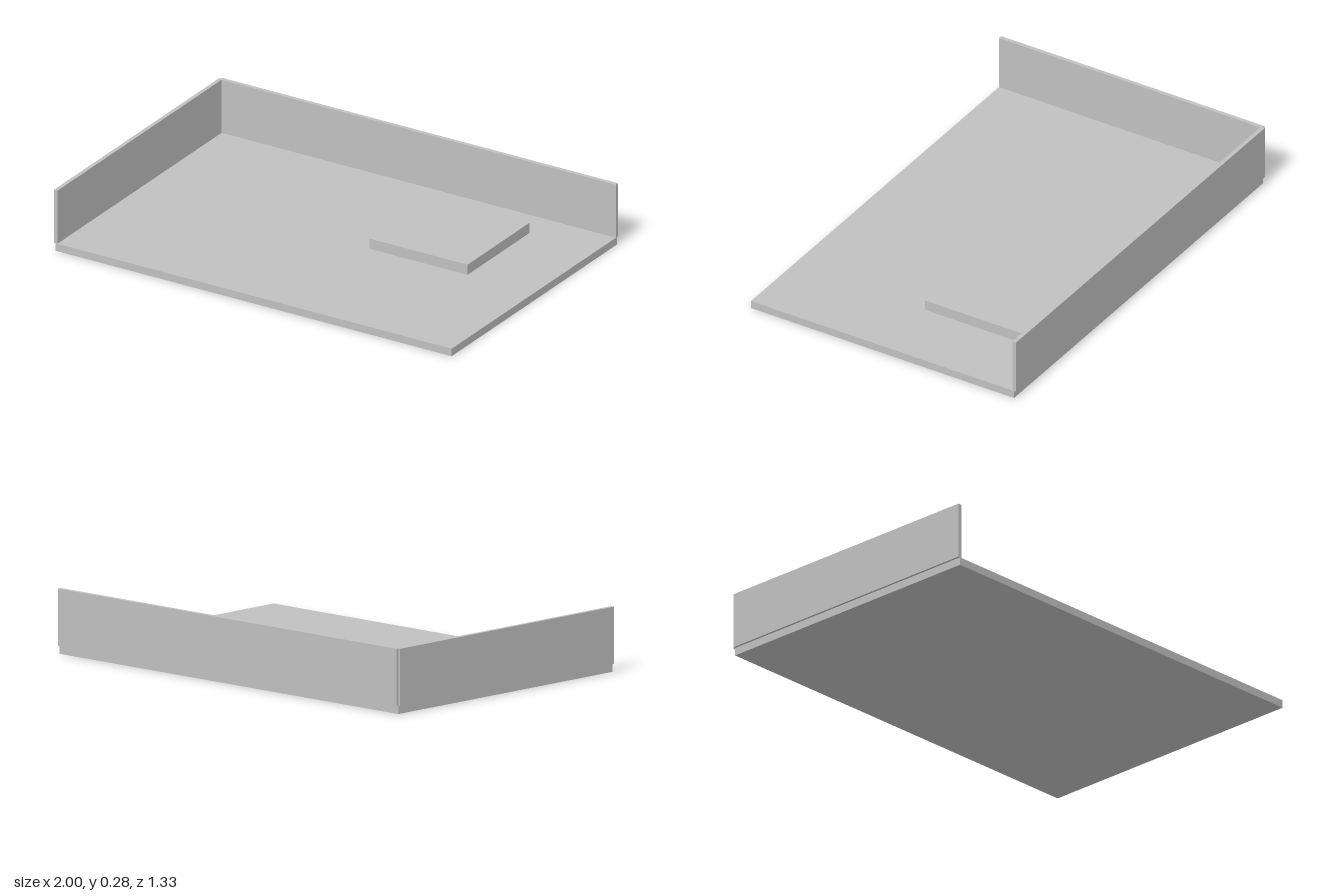
import * as THREE from 'three';

export function createModel() {
  const model = new THREE.Group();
  model.name = 'walledPlatform';

  const grey = new THREE.MeshStandardMaterial({ color: 0xc0c0c0 });
  grey.name = 'light grey';

  // Box given by its lower and upper corners
  function addBox(name, [x0, y0, z0], [x1, y1, z1]) {
    const mesh = new THREE.Mesh(new THREE.BoxGeometry(x1 - x0, y1 - y0, z1 - z0), grey);
    mesh.position.set((x0 + x1) / 2, (y0 + y1) / 2, (z0 + z1) / 2);
    mesh.name = name;
    model.add(mesh);
  }

  const floorTop = 0.035;
  const wallTop = 0.284;

  // Floor slab, with the two walls overhanging its outer edges slightly
  addBox('floor', [-0.99, 0, -0.657], [1, floorTop, 0.667]);
  addBox('backWall', [-0.99, floorTop, -0.667], [1, wallTop, -0.648]);
  addBox('sideWall', [-1, floorTop, -0.657], [-0.982, wallTop, 0.667]);

  // Low square plinth standing on the floor
  addBox('plinth', [0.17, floorTop, -0.492], [0.663, 0.083, 0.003]);

  return model;
}
